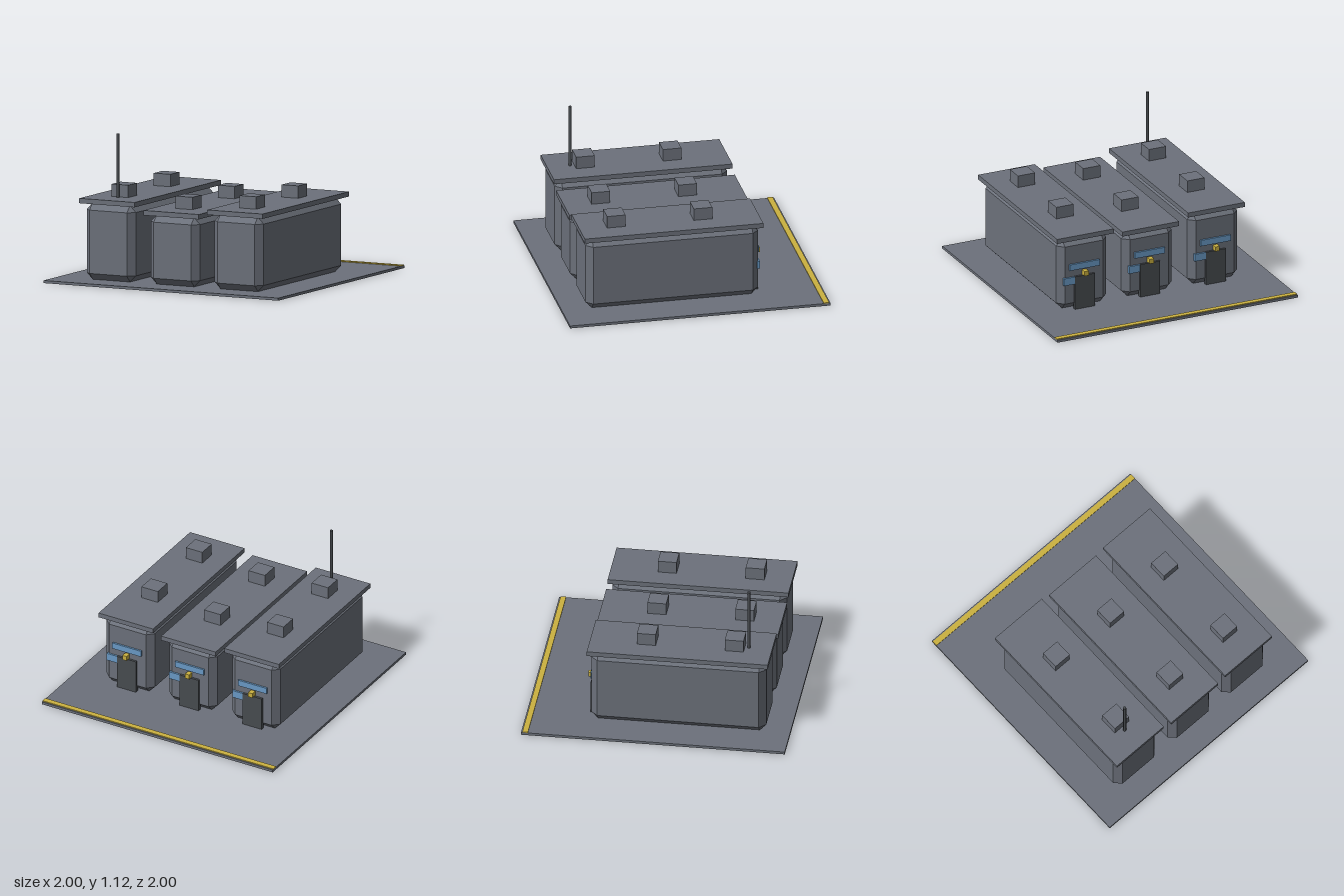
import * as THREE from 'three';
import { ConvexGeometry } from 'three/addons/geometries/ConvexGeometry.js';

const material = (name, color) => {
  const m = new THREE.MeshStandardMaterial({ color });
  m.name = name;
  return m;
};

export function createModel() {
  const grey = material('panel grey', 0x6c717b);
  const dark = material('dark metal', 0x484c50);
  const blue = material('window blue', 0x699ac6);
  const yellow = material('signal yellow', 0xcbb140);

  const model = new THREE.Group();
  model.name = 'moduleCompound';

  const add = (parent, name, geometry, mat, x = 0, y = 0, z = 0) => {
    const mesh = new THREE.Mesh(geometry, mat);
    mesh.name = name;
    mesh.position.set(x, y, z);
    parent.add(mesh);
  };
  // Box given by its [min, max] range on each axis
  const box = (parent, name, mat, [x0, x1], [y0, y1], [z0, z1]) =>
    add(parent, name, new THREE.BoxGeometry(x1 - x0, y1 - y0, z1 - z0), mat,
      (x0 + x1) / 2, (y0 + y1) / 2, (z0 + z1) / 2);

  // Box with every edge cut at 45 degrees: each corner becomes three points
  const chamferedBox = (w, h, d, c) => {
    const points = [];
    for (const sx of [-1, 1]) for (const sy of [-1, 1]) for (const sz of [-1, 1]) {
      const [x, y, z] = [w / 2, h / 2, d / 2];
      for (const [px, py, pz] of [[x, y - c, z - c], [x - c, y, z - c], [x - c, y - c, z]])
        points.push(new THREE.Vector3(sx * px, sy * py, sz * pz));
    }
    return new ConvexGeometry(points);
  };

  // Ground slab and marking along the rear edge
  box(model, 'groundSlab', grey, [-1, 1], [0, 0.02], [-1, 1]);
  box(model, 'edgeStripe', yellow, [-1, 1], [0.02, 0.026], [-0.99, -0.948]);

  // Three modules that differ in position and height
  const modules = [
    ['rightModule', -0.547, 0.6],
    ['middleModule', 0, 0.545],
    ['leftModule', 0.543, 0.585],
  ];
  for (const [name, x, top] of modules) {
    const unit = new THREE.Group();
    unit.name = name;
    unit.position.x = x;
    model.add(unit);

    // Hull and overhanging roof
    add(unit, 'hull', chamferedBox(0.418, top - 0.02, 1.325, 0.05), grey, 0, (top + 0.02) / 2, 0.155);
    const roof = top + 0.037;
    box(unit, 'roof', grey, [-0.236, 0.236], [top, roof], [-0.533, 0.839]);
    for (const z of [-0.105, 0.561])
      box(unit, 'roofVent', grey, [-0.071, 0.071], [roof, roof + 0.094], [z - 0.071, z + 0.071]);

    // Rear entrance
    box(unit, 'door', dark, [-0.083, 0.083], [0.02, 0.285], [-0.525, -0.495]);
    box(unit, 'upperWindow', blue, [-0.125, 0.125], [0.34, 0.388], [-0.522, -0.505]);
    box(unit, 'sideWindow', blue, [0.075, 0.173], [0.225, 0.283], [-0.522, -0.5]);
    box(unit, 'doorLamp', yellow, [-0.018, 0.018], [0.29, 0.327], [-0.553, -0.505]);
  }

  // Mast on the tallest module
  add(model, 'mast', new THREE.CylinderGeometry(0.012, 0.012, 0.485, 8), dark, -0.547, 0.8795, 0.663);

  return model;
}
